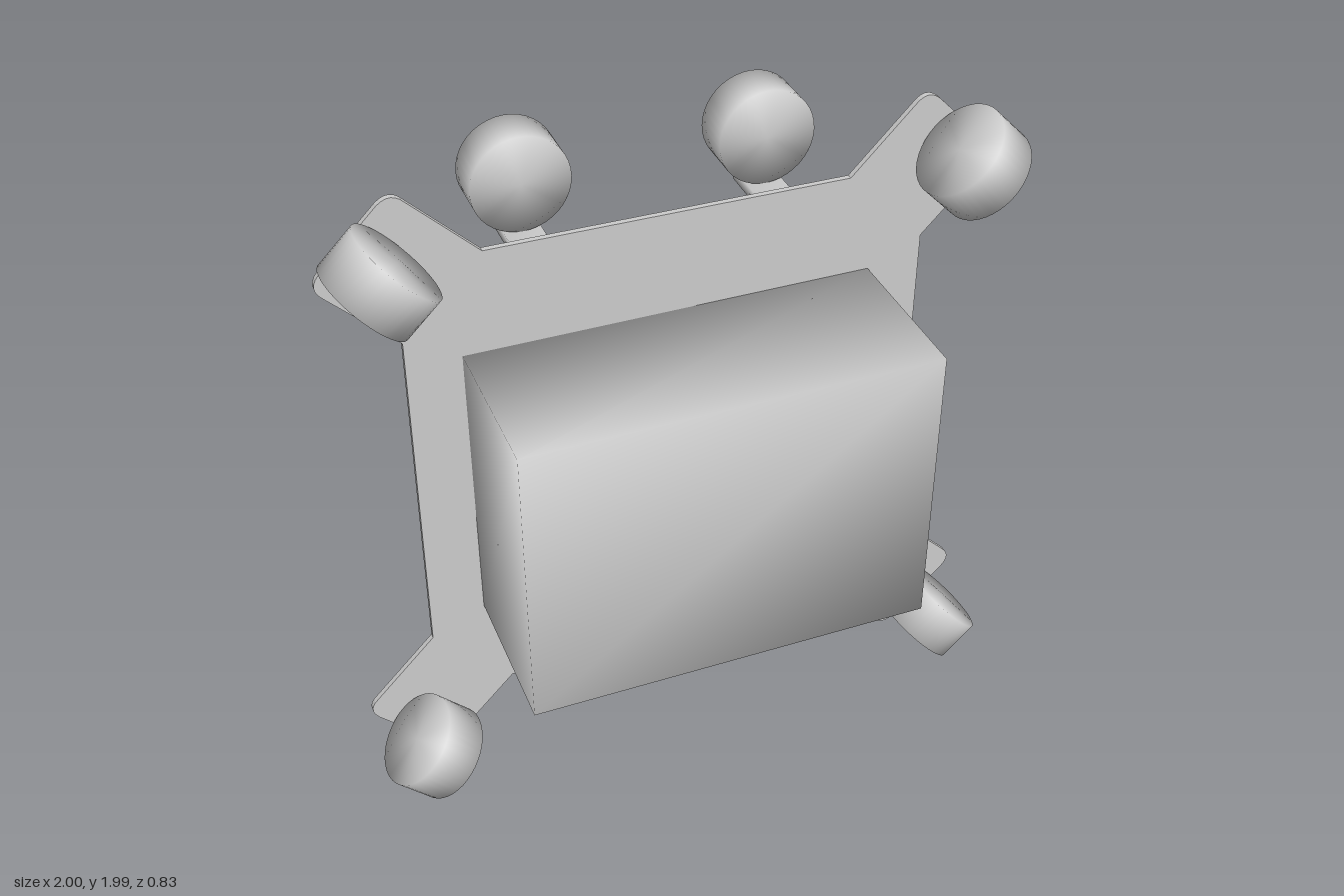
import * as THREE from 'three';
import { mergeVertices } from 'three/addons/utils/BufferGeometryUtils.js';

const MID_Y = 1.005;   // height of the plate's centre
const PLATE_Z = -0.107;

// Weld all corners so the shading runs smoothly over the edges
function weld(geometry) {
  geometry.deleteAttribute('normal');
  geometry.deleteAttribute('uv');
  const welded = mergeVertices(geometry, 1e-4);
  welded.computeVertexNormals();
  return welded;
}

// Square plate with a diagonal, round-cornered arm at each corner
function plateGeometry() {
  const s = new THREE.Shape();
  // one corner (+x, +y), counter-clockwise, with r the rounding control points
  const corner = [
    ['L', 0.785, 0.54], ['L', 0.975, 0.735], ['Q', 1.015, 0.77, 0.98, 0.81],
    ['L', 0.81, 0.98], ['Q', 0.77, 1.015, 0.735, 0.975], ['L', 0.545, 0.78],
  ];
  for (let k = 0; k < 4; k++) {
    const c = Math.round(Math.cos(k * Math.PI / 2)), n = Math.round(Math.sin(k * Math.PI / 2));
    const turn = (x, y) => [x * c - y * n, x * n + y * c];
    corner.forEach(([type, ...p], i) => {
      if (type === 'Q') s.quadraticCurveTo(...turn(p[0], p[1]), ...turn(p[2], p[3]));
      else if (k === 0 && i === 0) s.moveTo(...turn(p[0], p[1]));
      else s.lineTo(...turn(p[0], p[1]));
    });
  }
  s.closePath();
  return new THREE.ExtrudeGeometry(s, { depth: 0.018, bevelEnabled: false, curveSegments: 6 });
}

export function createModel() {
  const model = new THREE.Group();
  model.name = 'platedBody';
  const material = new THREE.MeshStandardMaterial({ color: 0xcccccc });

  const add = (name, geometry, x, y, z) => {
    const mesh = new THREE.Mesh(geometry, material);
    mesh.name = name;
    mesh.position.set(x, y, z);
    model.add(mesh);
    return mesh;
  };

  add('plate', plateGeometry(), 0, MID_Y, PLATE_Z);
  add('frontBox', weld(new THREE.BoxGeometry(1.236, 0.926, 0.5)), 0, MID_Y, 0.161);

  const drum = weld(new THREE.CylinderGeometry(0.147, 0.147, 0.137, 40));
  const bar = weld(new THREE.BoxGeometry(0.11, 0.033, 0.295));

  for (const sx of [-1, 1]) {
    for (const sy of [-1, 1]) {
      const side = (sy > 0 ? 'Upper' : 'Lower') + (sx > 0 ? 'Left' : 'Right');

      // Drum in front of each arm, its axis across the arm
      const corner = add('cornerDrum' + side, drum, sx * 0.85, MID_Y + sy * 0.845, 0.058);
      corner.rotation.z = sx * sy * Math.PI / 4;

      // Drum facing backwards, carried by a flat bar from the plate
      const rear = add('rearDrum' + side, drum, sx * 0.368, MID_Y + sy * 0.848, -0.347);
      rear.rotation.x = Math.PI / 2;
      add('rearBar' + side, bar, sx * 0.368, MID_Y + sy * 0.683, -0.247);
    }
  }
  return model;
}
